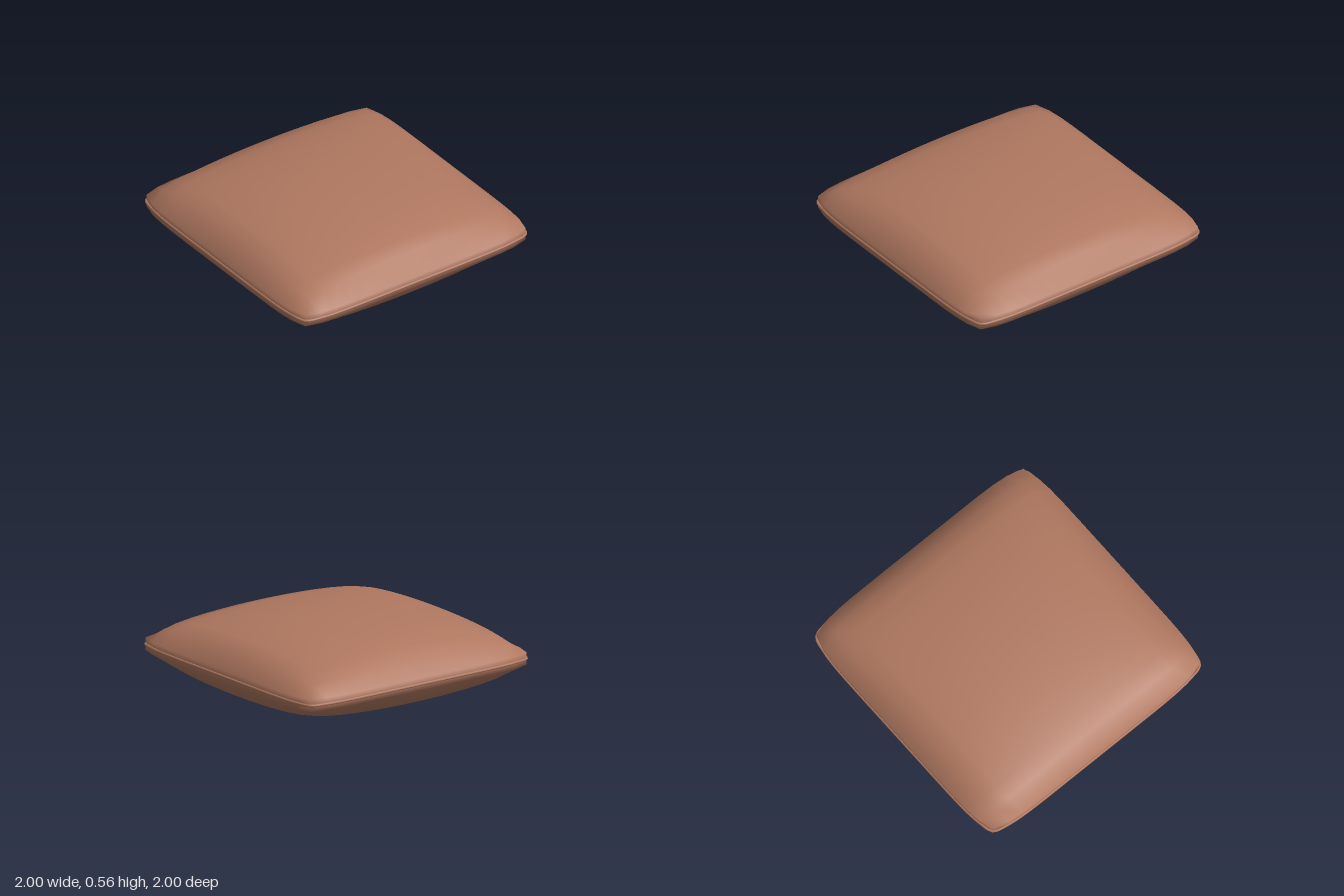
import * as THREE from 'three';
import { mergeVertices } from 'three/addons/utils/BufferGeometryUtils.js';

const HALF = 0.99;   // half width of the cushion
const WALL = 0.045;  // half thickness at the rim
const PUFF = 0.233;  // extra half thickness at the centre
const MID = WALL + PUFF;
const SEG = 16;

// Plan position for grid coordinates u, v in -1..1; the corners pull in slightly
const plan = (u, v) => [
  HALF * u * (1 - 0.05 * Math.pow(Math.abs(v), 8)),
  HALF * v * (1 - 0.05 * Math.pow(Math.abs(u), 8)),
];

export function createModel() {
  const group = new THREE.Group();
  group.name = 'cushion';
  const material = new THREE.MeshStandardMaterial({ color: 0xb07860 });

  // Padded body: a gridded box whose top and bottom bulge towards the middle
  let body = new THREE.BoxGeometry(2, 2, 2, SEG, 2, SEG);
  body.deleteAttribute('uv');
  body.deleteAttribute('normal');
  body = mergeVertices(body);
  const pos = body.attributes.position;
  for (let i = 0; i < pos.count; i++) {
    const u = pos.getX(i), v = pos.getZ(i), side = pos.getY(i);
    const bulge = Math.pow(Math.max(0, (1 - u * u) * (1 - v * v)), 0.45);
    const [x, z] = plan(u, v);
    pos.setXYZ(i, x, MID + side * (WALL + PUFF * bulge), z);
  }
  body.computeVertexNormals();
  const bodyMesh = new THREE.Mesh(body, material);
  bodyMesh.name = 'cushionBody';
  group.add(bodyMesh);

  // Piping along the seam, following the rim on all four sides
  const rim = [];
  for (let side = 0; side < 4; side++) {
    for (let i = 0; i < SEG; i++) {
      const t = -1 + (2 * i) / SEG;
      const [u, v] = [[t, 1], [1, -t], [-t, -1], [-1, t]][side];
      const [x, z] = plan(u, v);
      rim.push(new THREE.Vector3(x, MID, z));
    }
  }
  const path = new THREE.CatmullRomCurve3(rim, true);
  const piping = new THREE.Mesh(new THREE.TubeGeometry(path, 256, 0.01, 8, true), material);
  piping.name = 'seamPiping';
  group.add(piping);

  return group;
}
